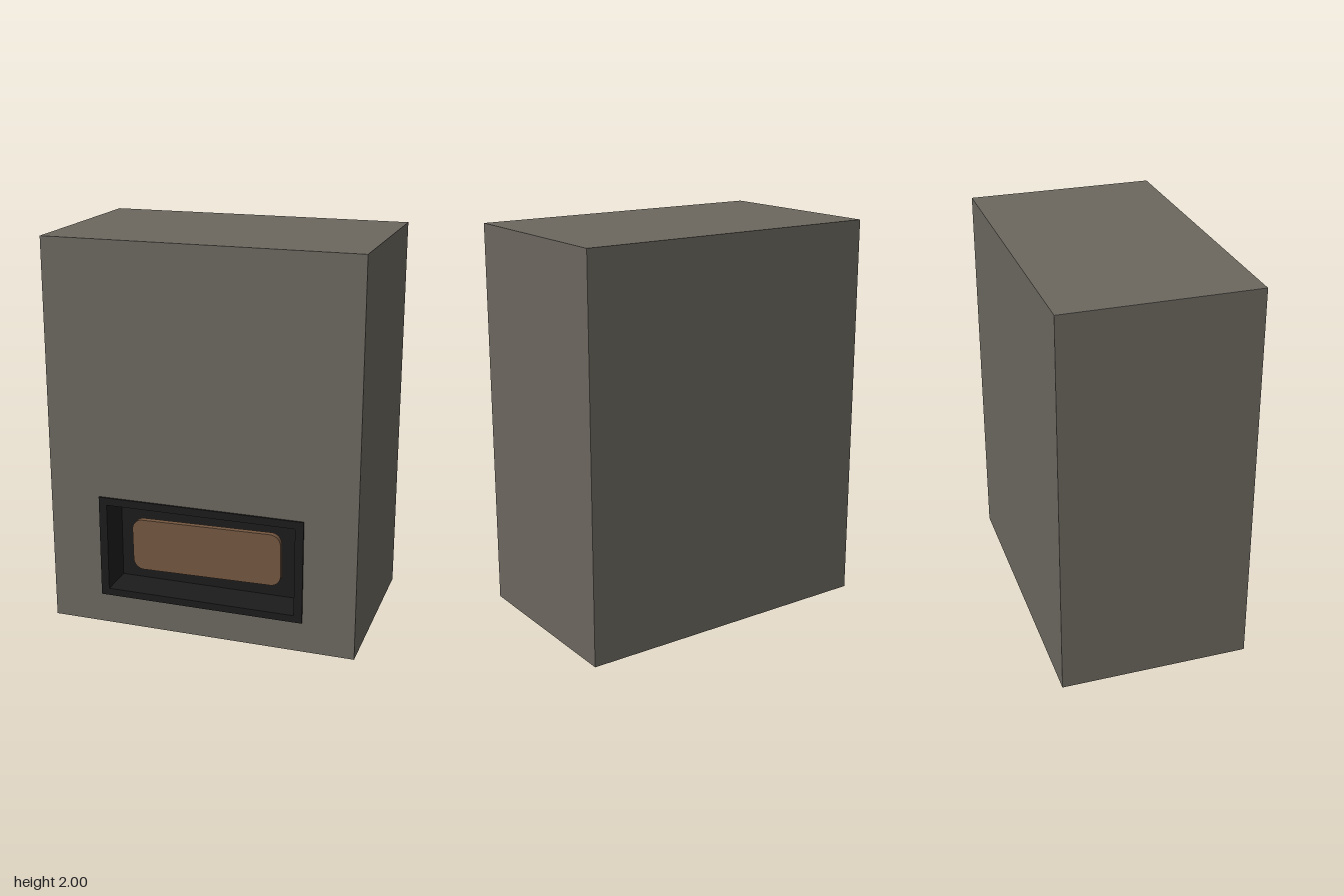
import * as THREE from 'three';
import { mergeGeometries } from 'three/addons/utils/BufferGeometryUtils.js';

const BACK = -0.49, FRONT = 0.48, FRAME_FRONT = 0.49, RECESS_BACK = 0.3;
const OPENING = { x: 0.492, y0: 0.195, y1: 0.655 };
const FRAME = { x: 0.534, y0: 0.158, y1: 0.694 };
const BODY = { x: 0.8, y0: 0, y1: 2 };

function tracePath(path, { x, y0, y1 }) {
  path.moveTo(-x, y0);
  path.lineTo(x, y0);
  path.lineTo(x, y1);
  path.lineTo(-x, y1);
  path.closePath();
  return path;
}

// Rectangle with the firebox opening cut out
function rectWithOpening(rect) {
  const shape = tracePath(new THREE.Shape(), rect);
  shape.holes.push(tracePath(new THREE.Path(), OPENING));
  return shape;
}

// Box between two depths without its front (+z) face
function openBox({ x, y0, y1 }, z0, z1) {
  const geo = new THREE.BoxGeometry(2 * x, y1 - y0, z1 - z0);
  const index = Array.from(geo.index.array);
  index.splice(24, 6);
  geo.setIndex(index);
  geo.clearGroups();
  return geo.translate(0, (y0 + y1) / 2, (z0 + z1) / 2);
}

function roundedRect(w, h, r) {
  const s = new THREE.Shape();
  s.absarc(w / 2 - r, h / 2 - r, r, 0, Math.PI / 2);
  s.absarc(-w / 2 + r, h / 2 - r, r, Math.PI / 2, Math.PI);
  s.absarc(-w / 2 + r, -h / 2 + r, r, Math.PI, Math.PI * 1.5);
  s.absarc(w / 2 - r, -h / 2 + r, r, Math.PI * 1.5, Math.PI * 2);
  return s;
}

export function createModel() {
  const model = new THREE.Group();
  model.name = 'fireplace';
  const add = (name, geometry, color, side = THREE.FrontSide) => {
    const mesh = new THREE.Mesh(geometry, new THREE.MeshStandardMaterial({ color, side }));
    mesh.name = name;
    model.add(mesh);
    return mesh;
  };

  // Chimney block: open box closed by a front with the opening
  const front = new THREE.ShapeGeometry(rectWithOpening(BODY)).translate(0, 0, FRONT);
  add('chimneyBlock', mergeGeometries([openBox(BODY, BACK, FRONT), front]), 0x6b675f);

  // Dark surround standing slightly proud of the block
  const frame = new THREE.ExtrudeGeometry(rectWithOpening(FRAME), {
    depth: FRAME_FRONT - FRONT, bevelEnabled: false,
  }).translate(0, 0, FRONT);
  add('surround', frame, 0x1c1c1c);

  // Recessed lining behind the surround
  add('fireboxLining', openBox(OPENING, RECESS_BACK, FRONT), 0x1c1c1c, THREE.DoubleSide);

  // Rounded panel, tilted by a hair inside the firebox
  const panel = new THREE.ExtrudeGeometry(roundedRect(0.79, 0.274, 0.055), {
    depth: 0.03, bevelEnabled: false, curveSegments: 8,
  });
  const insert = add('fireboxInsert', panel, 0x735640);
  insert.position.set(-0.004, 0.418, 0.35);
  insert.rotation.z = 0.016;

  return model;
}
